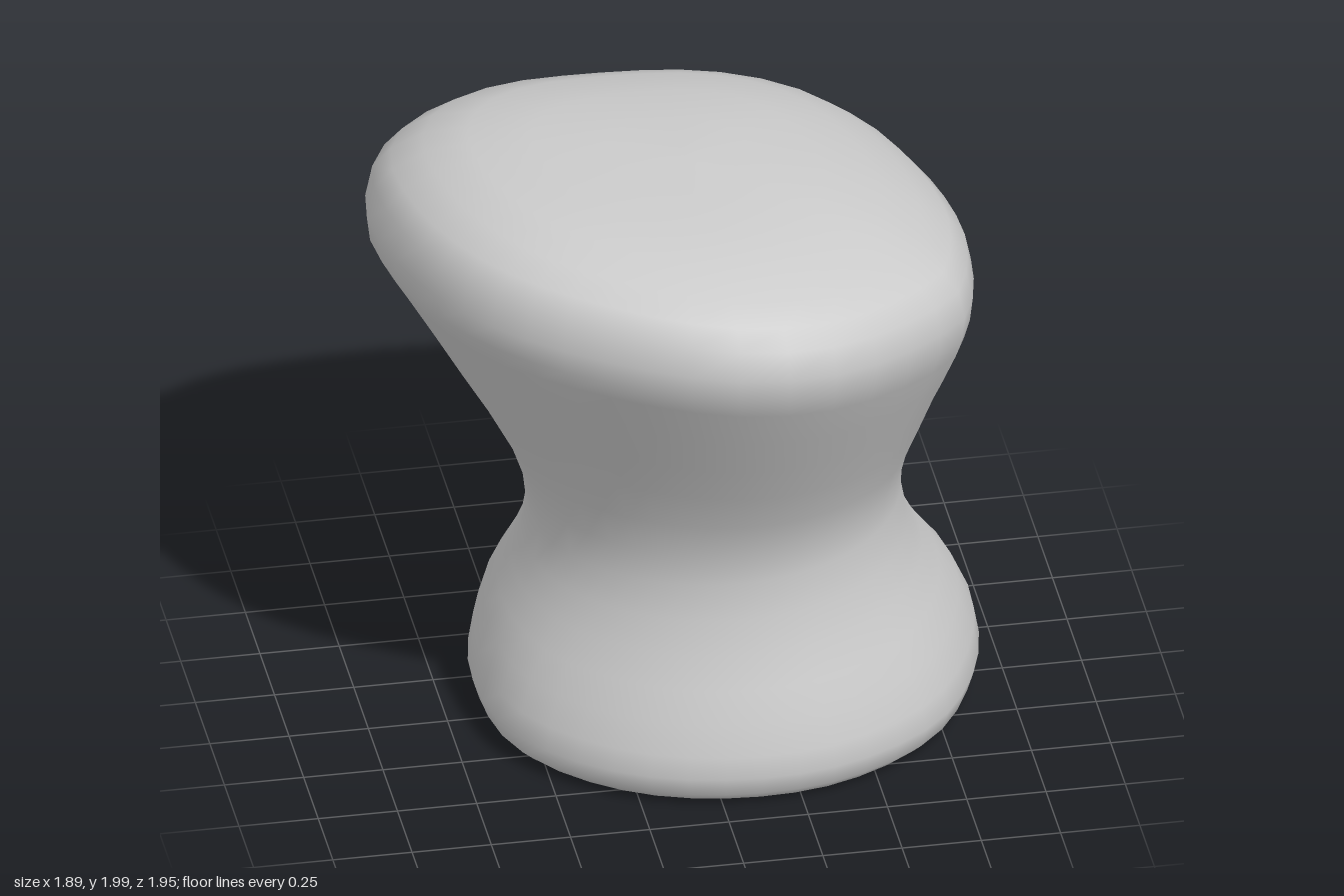
import * as THREE from 'three';

const SEGMENTS = 40;

// Smooth closed outline -> distance from its centre in any direction
function radialOutline(points, cx, cz) {
  const curve = new THREE.CatmullRomCurve3(
    points.map(([x, z]) => new THREE.Vector3(x - cx, 0, z - cz)), true, 'centripetal');
  const p = curve.getPoints(240);
  return (dx, dz) => {
    for (let i = 0; i < 240; i++) {
      const a = p[i], b = p[i + 1];
      const ex = b.x - a.x, ez = b.z - a.z;
      const det = dx * ez - dz * ex;
      if (Math.abs(det) < 1e-9) continue;
      const r = (a.x * ez - a.z * ex) / det;
      const s = (a.x * dz - a.z * dx) / det;
      if (r > 0 && s >= -1e-6 && s <= 1 + 1e-6) return r;
    }
    return 0.6;
  };
}

// The three guiding sections: foot, roundish waist, and broad tilted head
const foot = {
  c: [0.12, -0.05],
  r: radialOutline([[0.94, -0.1], [0.92, -0.3], [0.82, -0.53], [0.67, -0.75], [0.45, -0.8], [0.1, -0.79],
    [-0.25, -0.72], [-0.5, -0.57], [-0.63, -0.3], [-0.66, 0], [-0.6, 0.28], [-0.43, 0.49],
    [-0.2, 0.63], [0.1, 0.69], [0.4, 0.65], [0.7, 0.47], [0.87, 0.2]], 0.12, -0.05),
};
const waist = {
  c: [0.09, -0.01],
  r: (dx, dz) => 0.562 + 0.015 * (dx * dx - dz * dz) + 0.03 * dx * dz,
};
const head = {
  c: [0, 0],
  r: radialOutline([[0.15, -0.98], [0.36, -0.94], [0.55, -0.84], [0.71, -0.65], [0.82, -0.35], [0.87, -0.05],
    [0.87, 0.2], [0.78, 0.56], [0.64, 0.72], [0.45, 0.87], [0.24, 0.96], [0.02, 0.97], [-0.2, 0.9],
    [-0.5, 0.71], [-0.64, 0.58], [-0.76, 0.42], [-0.88, 0.15], [-0.94, -0.15], [-0.94, -0.4],
    [-0.87, -0.6], [-0.76, -0.74], [-0.55, -0.87], [-0.28, -0.94]], 0, 0),
};

// Each ring: [height, section A, section B, blend A to B, scale, slope along x, slope along z]
const rings = [
  [0.01, foot, foot, 0, 0, 0, 0],
  [0.01, foot, foot, 0, 0.5, 0, 0],
  [0.012, foot, foot, 0, 0.87, 0, 0],
  [0.022, foot, foot, 0, 0.93, 0, 0],
  [0.055, foot, foot, 0, 0.975, 0, 0],
  [0.12, foot, foot, 0, 1, 0, 0],
  [0.21, foot, foot, 0, 0.98, 0, -0.03],
  [0.33, waist, foot, 0.74, 1, 0.01, -0.06],
  [0.43, waist, foot, 0.5, 1, 0.01, -0.06],
  [0.53, waist, foot, 0.28, 1, 0.02, -0.05],
  [0.63, waist, foot, 0.1, 1, 0.03, -0.03],
  [0.75, waist, head, 0, 1, 0.05, -0.03],
  [0.86, waist, head, 0.03, 1, 0.03, -0.02],
  [0.97, waist, head, 0.13, 1, 0, 0.01],
  [1.1, waist, head, 0.31, 1, -0.03, 0.04],
  [1.23, waist, head, 0.5, 1, -0.04, 0.06],
  [1.37, waist, head, 0.71, 1, -0.06, 0.08],
  [1.49, waist, head, 0.89, 1, -0.07, 0.1],
  [1.56, head, head, 0, 0.99, -0.07, 0.1],
  [1.64, head, head, 0, 1, -0.07, 0.1],
  [1.74, head, head, 0, 0.978, -0.08, 0.095],
  [1.805, head, head, 0, 0.92, -0.09, 0.09],
  [1.868, head, head, 0, 0.82, -0.1, 0.07],
  [1.922, head, head, 0, 0.68, -0.1, 0.06],
  [1.96, head, head, 0, 0.48, -0.08, 0.05],
  [1.977, head, head, 0, 0.25, -0.06, 0.03],
  [1.982, head, head, 0, 0, 0, 0],
];

function loft() {
  const position = [], index = [];
  rings.forEach(([y, A, B, mix, scale, slopeX, slopeZ], i) => {
    for (let j = 0; j < SEGMENTS; j++) {
      const a = (j / SEGMENTS) * Math.PI * 2;
      const dx = Math.cos(a), dz = -Math.sin(a);
      const r = THREE.MathUtils.lerp(A.r(dx, dz), B.r(dx, dz), mix) * scale;
      const x = THREE.MathUtils.lerp(A.c[0], B.c[0], mix) + dx * r;
      const z = THREE.MathUtils.lerp(A.c[1], B.c[1], mix) + dz * r;
      position.push(x, Math.min(2, y + slopeX * x + slopeZ * z), z);
      if (i === rings.length - 1) continue;
      const k = (j + 1) % SEGMENTS, lo = i * SEGMENTS, hi = lo + SEGMENTS;
      // The first and last rings are points, so they close with single triangles
      if (i > 0) index.push(lo + j, lo + k, hi + k);
      if (i < rings.length - 2) index.push(lo + j, hi + k, hi + j);
    }
  });
  const geometry = new THREE.BufferGeometry();
  geometry.setAttribute('position', new THREE.Float32BufferAttribute(position, 3));
  geometry.setIndex(index);
  geometry.computeVertexNormals();
  return geometry;
}

export function createModel() {
  const group = new THREE.Group();
  group.name = 'waistedStump';
  const body = new THREE.Mesh(loft(), new THREE.MeshStandardMaterial({ color: 0xcccccc }));
  body.name = 'body';
  group.add(body);
  return group;
}
